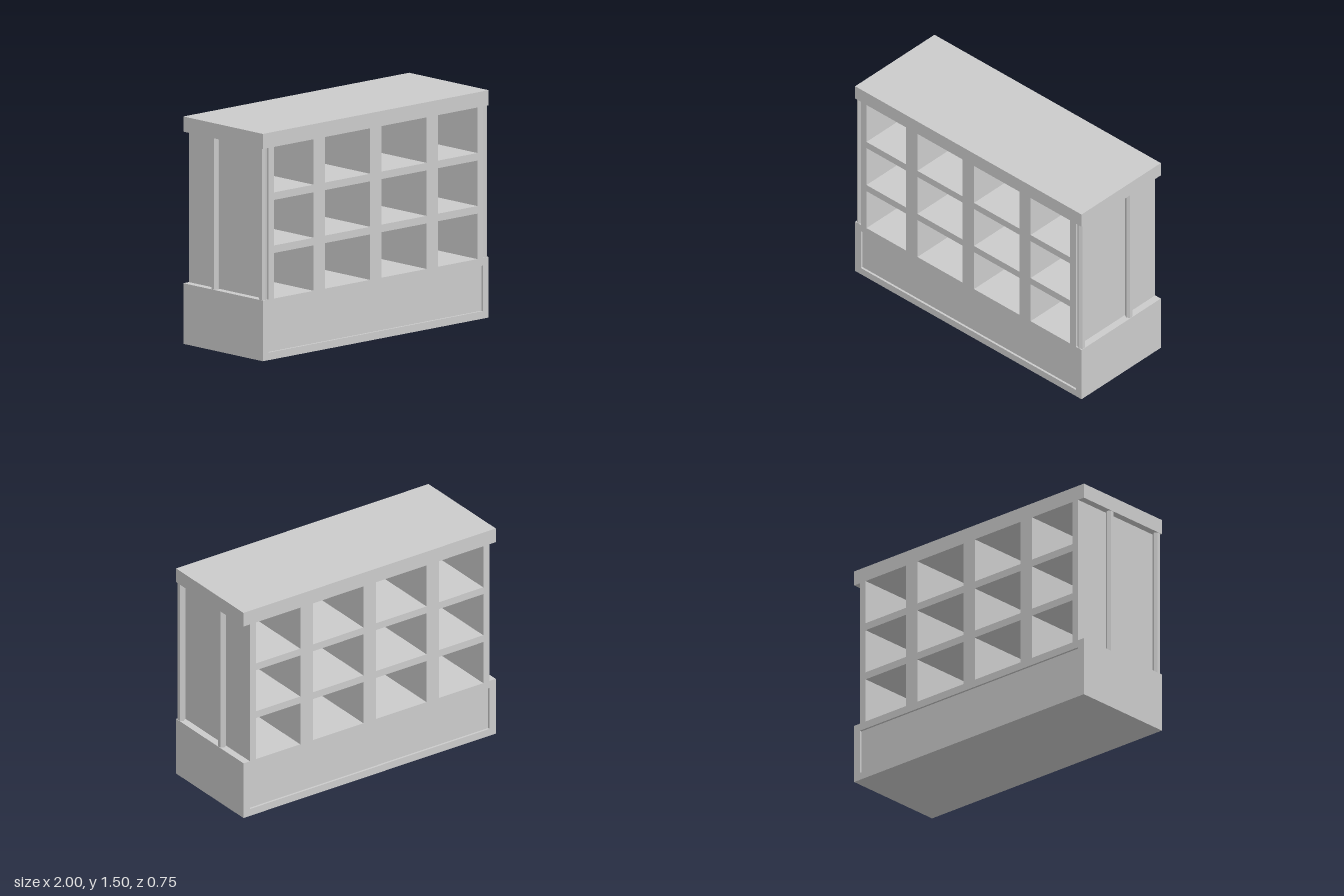
import * as THREE from 'three';

const DEPTH = 0.75;
const BASE_TOP = 0.4, SHELF_TOP = 1.4;
const RECESS = 0.015;

export function createModel() {
  const group = new THREE.Group();
  const material = new THREE.MeshStandardMaterial({ color: 0xcccccc, flatShading: true });

  const add = (name, geometry, x, y, z) => {
    const mesh = new THREE.Mesh(geometry, material);
    mesh.name = name;
    mesh.position.set(x, y, z);
    group.add(mesh);
    return mesh;
  };
  // Full-depth box given by its x and y extents
  const slab = (name, x0, x1, y0, y1, depth = DEPTH) =>
    add(name, new THREE.BoxGeometry(x1 - x0, y1 - y0, depth), (x0 + x1) / 2, (y0 + y1) / 2, 0);

  // Counter top
  slab('counterTop', -1, 1, SHELF_TOP, 1.5);

  // Base with a shallow recessed panel on the front and the back
  slab('baseCore', -1, 1, 0, BASE_TOP, DEPTH - 2 * RECESS);
  const frame = new THREE.Shape([[-1, 0], [1, 0], [1, 0.4], [-1, 0.4]].map(p => new THREE.Vector2(...p)));
  frame.holes.push(new THREE.Path(
    [[-0.95, 0.05], [-0.95, 0.35], [0.95, 0.35], [0.95, 0.05]].map(p => new THREE.Vector2(...p))));
  const frameGeometry = new THREE.ExtrudeGeometry(frame, { depth: RECESS, bevelEnabled: false });
  add('frontPanelFrame', frameGeometry, 0, 0, DEPTH / 2 - RECESS);
  add('backPanelFrame', frameGeometry, 0, 0, -DEPTH / 2);

  // Uprights; the bays between them are open from front to back
  const uprights = [[-0.95, -0.9], [-0.55, -0.45], [-0.05, 0.05], [0.45, 0.55], [0.9, 0.95]];
  uprights.forEach(([x0, x1], i) => {
    slab('upright', x0, x1, BASE_TOP, SHELF_TOP);
    // Two shelves in the bay to the next upright
    if (i < uprights.length - 1) {
      for (const y of [0.7, 1.05]) slab('shelf', x1, uprights[i + 1][0], y, y + 0.05);
    }
  });

  // Slim hexagonal posts along both ends
  const postGeometry = new THREE.CylinderGeometry(0.025, 0.025, SHELF_TOP - BASE_TOP, 6);
  for (const side of [-1, 1]) {
    for (const z of [0.35, -0.1]) add('endPost', postGeometry, side * 0.975, (BASE_TOP + SHELF_TOP) / 2, z);
  }

  return group;
}
